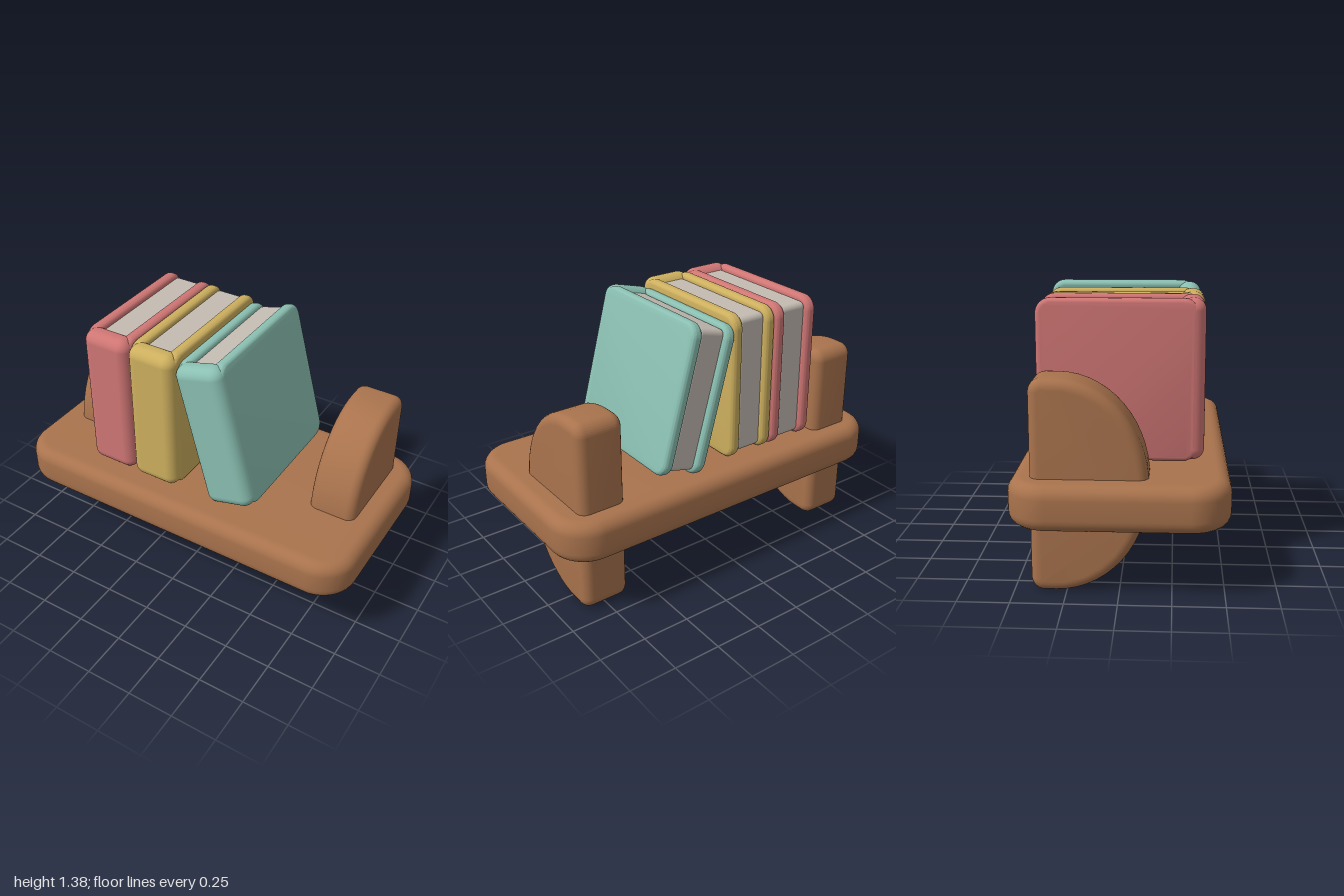
import * as THREE from 'three';
import { toCreasedNormals } from 'three/addons/utils/BufferGeometryUtils.js';
import { RoundedBoxGeometry } from 'three/addons/geometries/RoundedBoxGeometry.js';

const mat = (name, color) => new THREE.MeshStandardMaterial({ name, color });

function roundedRect(w, h, r) {
  const s = new THREE.Shape(), x = w / 2, y = h / 2;
  s.moveTo(-x + r, -y);
  s.lineTo(x - r, -y);
  s.absarc(x - r, -y + r, r, -Math.PI / 2, 0);
  s.lineTo(x, y - r);
  s.absarc(x - r, y - r, r, 0, Math.PI / 2);
  s.lineTo(-x + r, y);
  s.absarc(-x + r, y - r, r, Math.PI / 2, Math.PI);
  s.lineTo(-x, -y + r);
  s.absarc(-x + r, -y + r, r, Math.PI, Math.PI * 1.5);
  return s;
}

// Soft-edged slab of total thickness t, centred in depth; the bevel grows the outline by b
function slab(shape, t, b) {
  const g = new THREE.ExtrudeGeometry(shape, {
    depth: t - 2 * b, bevelEnabled: true, bevelSize: b, bevelThickness: b,
    bevelSegments: 6, curveSegments: 14,
  });
  g.translate(0, 0, -(t - 2 * b) / 2);
  return g;
}

export function createModel() {
  const model = new THREE.Group();
  model.name = 'bookShelf';
  const wood = mat('wood', 0xa9734d);
  const paper = mat('paper', 0xc4bcb2);
  const add = (parent, name, geo, material, x, y, z) => {
    const m = new THREE.Mesh(geo, material);
    m.name = name;
    m.position.set(x, y, z);
    parent.add(m);
    return m;
  };

  // Shelf board
  const board = slab(roundedRect(1.87, 0.92, 0.13), 0.225, 0.065).rotateX(-Math.PI / 2);
  add(model, 'shelfBoard', toCreasedNormals(board, 0.6), wood, 0, 0.448, 0);

  // Brackets: flat back, half-oval front, passing through the board
  const b = 0.05, back = -0.42 + b, r = 0.015;
  const profile = new THREE.Shape();
  profile.moveTo(back + r, b);
  profile.lineTo(-0.3, b);
  profile.absellipse(-0.3, 0.515, 0.44 - b, 0.515 - b, -Math.PI / 2, Math.PI / 2);
  profile.lineTo(back + r, 1.03 - b);
  profile.absarc(back + r, 1.03 - b - r, r, Math.PI / 2, Math.PI);
  profile.lineTo(back, b + r);
  profile.absarc(back + r, b + r, r, Math.PI, Math.PI * 1.5);
  const bracket = toCreasedNormals(slab(profile, 0.255, b).rotateY(-Math.PI / 2), 0.6);
  add(model, 'rightBracket', bracket, wood, -0.748, 0, 0);
  add(model, 'leftBracket', bracket, wood, 0.748, 0, 0);

  // Books: two covers and a rounded spine at the front around a page block
  const W = 0.272, H = 0.797, D = 0.82, T = 0.064;
  const coverGeo = toCreasedNormals(
    slab(roundedRect(D - 0.08, H - 0.05, 0.05), T, 0.025).rotateY(-Math.PI / 2), 0.6);
  const spineGeo = new RoundedBoxGeometry(W, H, 0.125, 5, 0.058);
  const pagesGeo = new RoundedBoxGeometry(W - 2 * T + 0.03, H - 0.05, D - 0.1, 4, 0.03);

  function book(name, color, x, y, z, tilt) {
    const g = new THREE.Group();
    g.name = name;
    const cover = mat(name + 'Cover', color);
    for (const s of [-1, 1]) {
      add(g, s < 0 ? 'rightCover' : 'leftCover', coverGeo, cover, s * (W - T) / 2, 0, -0.015);
    }
    add(g, 'spine', spineGeo, cover, 0, 0, D / 2 - 0.0625);
    add(g, 'pages', pagesGeo, paper, 0, 0, -0.025);
    g.position.set(x, y, z);
    g.rotation.z = tilt;
    model.add(g);
  }
  book('redBook', 0xcf7674, -0.44, 0.963, -0.01, 0);
  book('yellowBook', 0xcdaf5e, -0.167, 0.963, -0.007, 0);
  book('tealBook', 0x8abfb1, 0.187, 0.963, -0.022, THREE.MathUtils.degToRad(15));

  return model;
}
